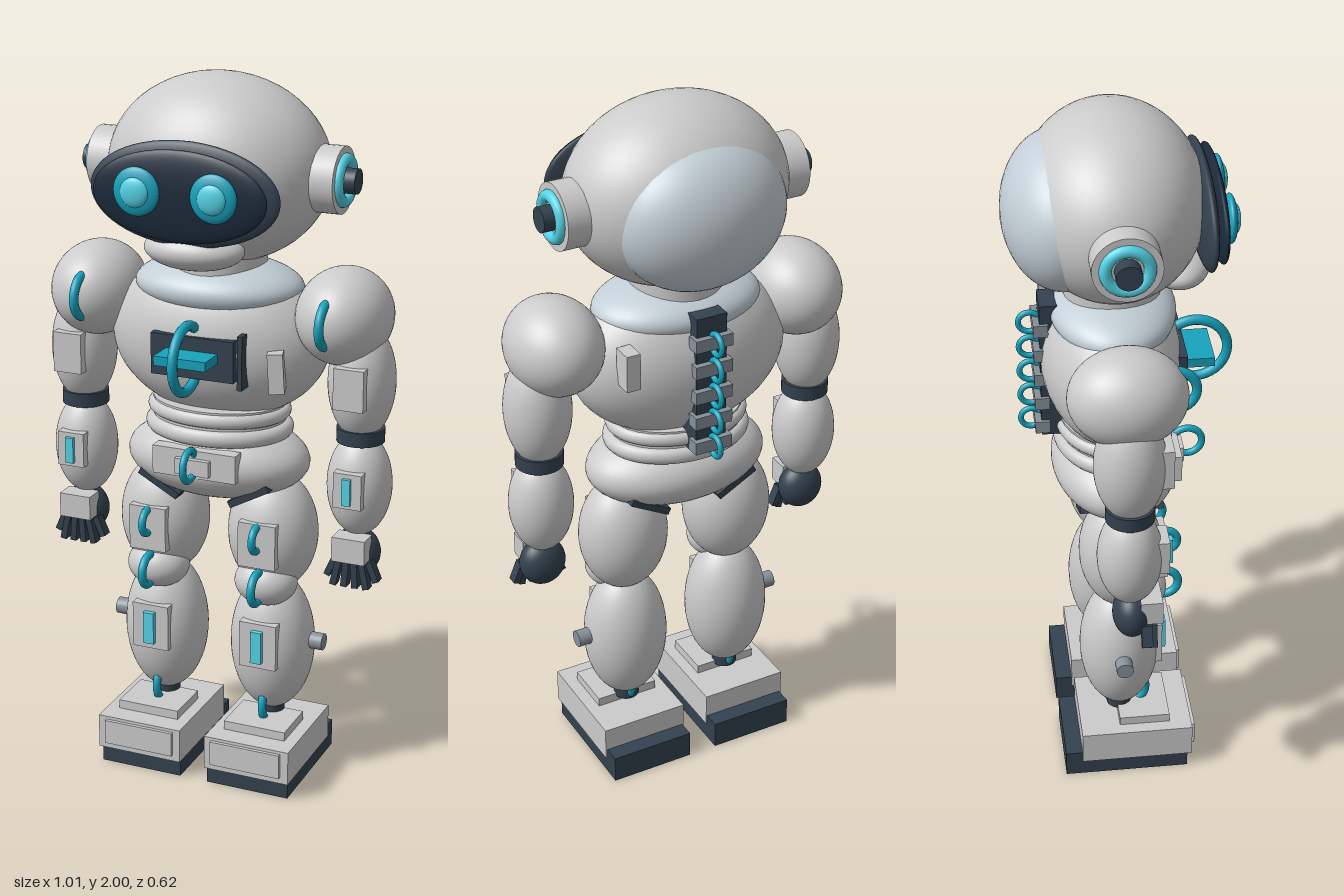
import * as THREE from 'three';

const mat = (color) => new THREE.MeshStandardMaterial({ color });
const M = {
  shell: mat(0xcccccc), panel: mat(0xc3ced6), dark: mat(0x33414f), visor: mat(0x1b2a3b),
  cyan: mat(0x16a3bd), glow: mat(0x55d3e6), metal: mat(0x87919a),
};

export function createModel() {
  const root = new THREE.Group();
  let parent = root;

  const add = (name, geo, m, x, y, z) => {
    const mesh = new THREE.Mesh(geo, M[m]);
    mesh.name = name;
    mesh.position.set(x, y, z);
    parent.add(mesh);
    return mesh;
  };
  const ball = (name, m, x, y, z, rx, ry, rz) => {
    const b = add(name, new THREE.SphereGeometry(1, 44, 28), m, x, y, z);
    b.scale.set(rx, ry, rz);
    return b;
  };
  const box = (name, m, x, y, z, w, h, d) => add(name, new THREE.BoxGeometry(w, h, d), m, x, y, z);
  const cyl = (name, m, x, y, z, r, h) => add(name, new THREE.CylinderGeometry(r, r, h, 32), m, x, y, z);
  // upright ring facing sideways
  const loop = (name, x, y, z, R, tube) => {
    const t = add(name, new THREE.TorusGeometry(R, tube, 12, 36), 'cyan', x, y, z);
    t.rotation.y = Math.PI / 2;
    return t;
  };
  // cylinder lying along x
  const peg = (name, m, x, y, z, r, h) => {
    const c = cyl(name, m, x, y, z, r, h);
    c.rotation.z = Math.PI / 2;
    return c;
  };
  // flat ring around the waist
  const band = (name, m, y, R, tube, sz) => {
    const t = add(name, new THREE.TorusGeometry(R, tube, 14, 48), m, 0, y, -0.02);
    t.rotation.x = Math.PI / 2;
    t.scale.y = sz;
  };
  const section = (name, build) => {
    parent = new THREE.Group();
    parent.name = name;
    root.add(parent);
    build();
    parent = root;
  };

  section('head', () => {
    ball('skull', 'shell', 0, 1.745, -0.02, 0.31, 0.255, 0.245);
    ball('backPanel', 'panel', 0, 1.725, -0.15, 0.24, 0.205, 0.16);
    ball('visorRim', 'dark', 0, 1.72, 0.213, 0.268, 0.14, 0.028);
    ball('visorGlass', 'visor', 0, 1.72, 0.246, 0.245, 0.122, 0.022);
    ball('chin', 'shell', 0, 1.56, 0.15, 0.14, 0.055, 0.09);
    for (const s of [-1, 1]) {
      ball('eyeRing', 'cyan', s * 0.108, 1.73, 0.272, 0.065, 0.065, 0.018);
      ball('eyeLens', 'glow', s * 0.108, 1.73, 0.284, 0.04, 0.04, 0.015);
      peg('earCup', 'shell', s * 0.32, 1.74, -0.02, 0.09, 0.065);
      loop('earRing', s * 0.355, 1.74, -0.02, 0.056, 0.016).material = M.glow;
      peg('earPlug', 'dark', s * 0.37, 1.74, -0.02, 0.034, 0.045);
    }
  });

  section('torso', () => {
    cyl('neck', 'shell', 0, 1.48, -0.02, 0.13, 0.1);
    ball('chestShell', 'shell', 0, 1.28, -0.027, 0.315, 0.23, 0.19);
    ball('collar', 'panel', 0, 1.425, -0.02, 0.24, 0.08, 0.17);
    // chest panel with handle
    box('chestPanel', 'dark', 0, 1.265, 0.145, 0.24, 0.115, 0.05);
    box('chestCrossbar', 'cyan', 0, 1.272, 0.205, 0.15, 0.026, 0.09);
    loop('chestHandle', 0, 1.272, 0.205, 0.09, 0.014);
    box('chestSlot', 'dark', 0.138, 1.265, 0.145, 0.014, 0.15, 0.05);
    const vent = box('chestVent', 'shell', 0.222, 1.24, 0.115, 0.042, 0.11, 0.06);
    vent.rotation.set(0, 0.3, 0.06);
    box('backVent', 'shell', 0.22, 1.34, -0.17, 0.04, 0.105, 0.06);
    // waist
    const core = cyl('waist', 'shell', 0, 1.05, -0.02, 0.19, 0.1);
    core.scale.z = 0.78;
    band('upperWaistBand', 'shell', 1.075, 0.185, 0.02, 0.78);
    band('lowerWaistBand', 'shell', 1.025, 0.188, 0.024, 0.78);
  });

  section('backSpine', () => {
    box('spineBar', 'dark', 0, 1.255, -0.175, 0.09, 0.41, 0.085);
    for (let i = 0; i < 5; i++) {
      const y = 1.08 + i * 0.077;
      box('vertebra', 'metal', 0, y, -0.215, 0.11, 0.036, 0.04);
      loop('spineLoop', 0, y, -0.242, 0.029, 0.008);
    }
  });

  section('pelvis', () => {
    ball('hipShell', 'shell', 0, 0.935, -0.015, 0.265, 0.115, 0.175);
    box('beltPlate', 'shell', 0, 0.958, 0.14, 0.245, 0.08, 0.04);
    box('beltBuckle', 'shell', 0, 0.953, 0.16, 0.1, 0.045, 0.03);
    loop('beltLoop', 0, 0.965, 0.19, 0.042, 0.01);
    for (const s of [-1, 1])
      box('hipFlap', 'dark', s * 0.135, 0.862, -0.015, 0.13, 0.02, 0.23).rotation.z = s * 0.5;
  });

  for (const s of [-1, 1]) {
    section(s > 0 ? 'leftArm' : 'rightArm', () => {
      const x = s * 0.415;
      ball('shoulder', 'shell', s * 0.363, 1.375, -0.02, 0.13, 0.132, 0.157);
      loop('shoulderLoop', s * 0.355, 1.38, 0.1, 0.058, 0.013);
      ball('upperArm', 'shell', x, 1.2, -0.02, 0.092, 0.165, 0.096);
      box('upperArmPlate', 'shell', x, 1.203, 0.07, 0.085, 0.115, 0.04);
      cyl('elbow', 'dark', x, 1.05, -0.02, 0.066, 0.04);
      ball('forearm', 'shell', x, 0.905, -0.02, 0.09, 0.147, 0.088);
      box('forearmPlate', 'shell', x, 0.915, 0.062, 0.08, 0.1, 0.04);
      box('forearmLight', 'glow', x, 0.915, 0.083, 0.024, 0.075, 0.02);
      ball('hand', 'dark', x, 0.71, -0.015, 0.066, 0.07, 0.052);
      box('handPlate', 'shell', x, 0.735, 0.035, 0.095, 0.07, 0.06);
      for (let i = 0; i < 4; i++) {
        const k = i - 1.5;
        box('finger', 'dark', x + k * 0.027, 0.66, 0.035, 0.018, 0.075, 0.03).rotation.z = k * 0.14;
      }
      for (const t of [-1, 1])
        box('thumb', 'dark', x + t * 0.06, 0.67, 0.02, 0.018, 0.06, 0.03).rotation.z = t * 0.4;
    });

    section(s > 0 ? 'leftLeg' : 'rightLeg', () => {
      const x = s * 0.165;
      ball('thigh', 'shell', x, 0.73, -0.015, 0.128, 0.175, 0.117);
      box('thighPlate', 'shell', x, 0.725, 0.085, 0.11, 0.13, 0.05);
      loop('thighLoop', x, 0.747, 0.11, 0.034, 0.011);
      ball('knee', 'shell', x, 0.595, 0.035, 0.09, 0.068, 0.078);
      loop('kneeLoop', x, 0.598, 0.105, 0.043, 0.012);
      ball('calf', 'shell', x, 0.392, -0.02, 0.121, 0.207, 0.113);
      box('calfPlate', 'shell', x, 0.418, 0.08, 0.11, 0.135, 0.035);
      box('calfLight', 'glow', x, 0.418, 0.1, 0.032, 0.095, 0.025);
      peg('calfKnob', 'metal', s * 0.295, 0.41, -0.02, 0.024, 0.05);
      // ankle and foot
      cyl('ankle', 'dark', x, 0.195, -0.02, 0.036, 0.06);
      loop('ankleLoop', x, 0.212, 0, 0.058, 0.012);
      box('anklePlate', 'shell', x, 0.162, 0.045, 0.185, 0.028, 0.145);
      box('footBody', 'shell', x + s * 0.001, 0.1, 0.02, 0.255, 0.1, 0.32);
      box('toePlate', 'shell', x, 0.105, 0.17, 0.21, 0.072, 0.04);
      box('sole', 'dark', x, 0.026, -0.01, 0.246, 0.052, 0.355);
      box('heel', 'dark', x, 0.04, -0.163, 0.246, 0.08, 0.05);
    });
  }
  return root;
}
